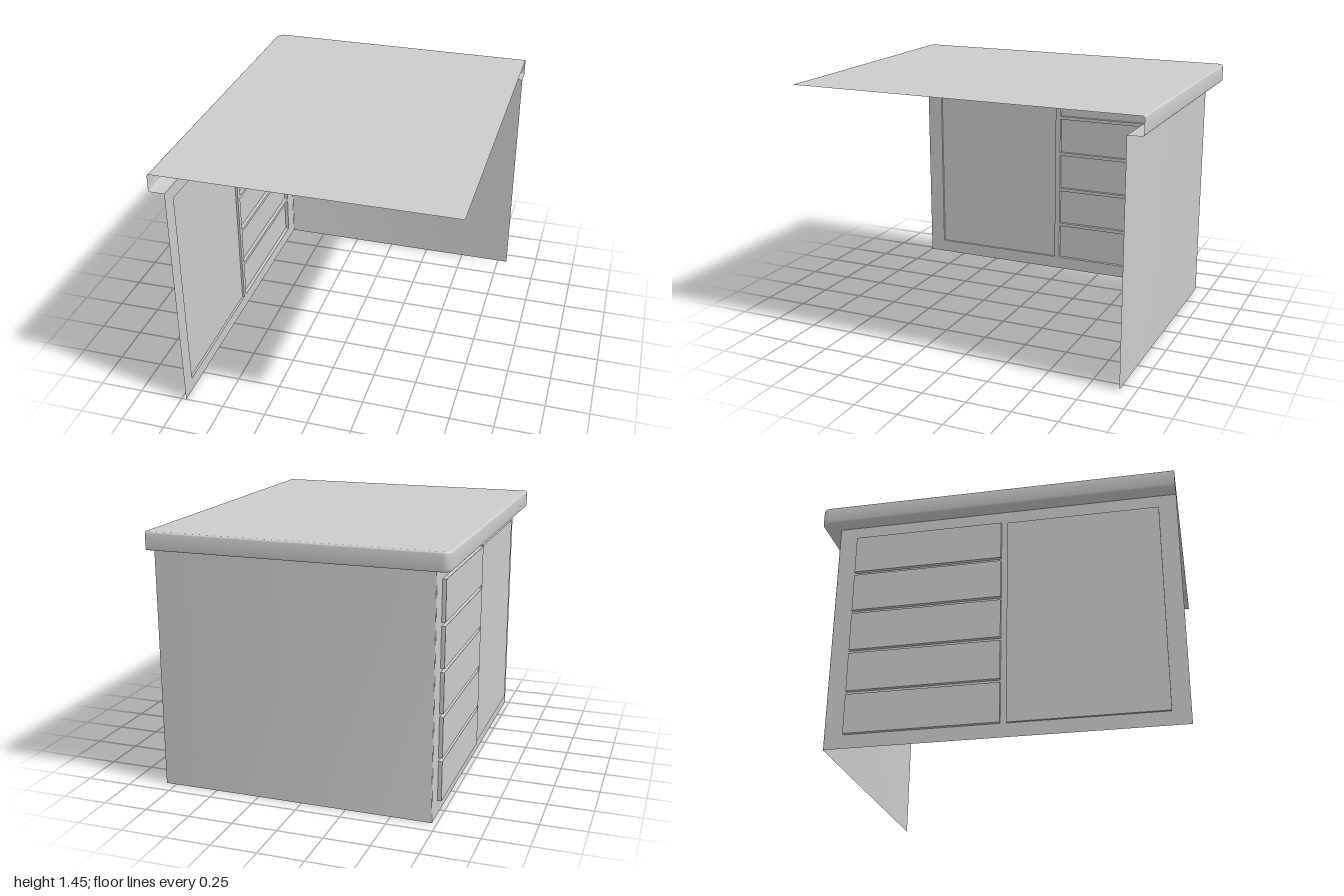
import * as THREE from 'three';
import { toCreasedNormals } from 'three/addons/utils/BufferGeometryUtils.js';

const X = 0.81, Z = 1, TOP = 1.445, UNDER = 1.345;
const OVERHANG = 0.087, CORNER = 0.045, EDGE = 0.01, WALL_CORNER = 0.006;
const WALL_X = -X + OVERHANG;

const material = new THREE.MeshStandardMaterial({ color: 0xcccccc, side: THREE.DoubleSide });

// Plan path [x, z] along the left-hand side, round the corner and along the back
function outline(inset) {
  const r = Math.max(CORNER - inset, WALL_CORNER), n = 6;
  const points = [[-X + inset, Z]];
  for (let i = 0; i <= n; i++) {
    const a = (i / n) * Math.PI / 2;
    points.push([-X + inset + r - r * Math.cos(a), -Z + inset + r - r * Math.sin(a)]);
  }
  points.push([X, -Z + inset]);
  return points;
}

// Sheet that carries a profile of [inset, y] points along the outline
function sweep(profile, firstPoint = 0) {
  const paths = profile.map(([inset]) => outline(inset).slice(firstPoint));
  const m = profile.length, position = [], index = [];
  for (let i = 0; i < paths[0].length; i++) {
    for (let j = 0; j < m; j++) {
      position.push(paths[j][i][0], profile[j][1], paths[j][i][1]);
      if (i + 1 < paths[0].length && j + 1 < m) {
        const a = i * m + j;
        index.push(a, a + 1, a + m, a + 1, a + m + 1, a + m);
      }
    }
  }
  const geometry = new THREE.BufferGeometry();
  geometry.setAttribute('position', new THREE.Float32BufferAttribute(position, 3));
  geometry.setIndex(index);
  return toCreasedNormals(geometry, 0.6);
}

// Raised panel, hollow behind: a box without its inner face
function tray({ z0, z1, y0, y1, depth }) {
  const geometry = new THREE.BoxGeometry(depth, y1 - y0, z1 - z0);
  geometry.setIndex(Array.from(geometry.index.array).slice(6));
  geometry.clearGroups();
  return geometry.translate(WALL_X - depth / 2, (y0 + y1) / 2, (z0 + z1) / 2);
}

export function createModel() {
  const group = new THREE.Group();
  const add = (name, geometry) => {
    const mesh = new THREE.Mesh(geometry, material);
    mesh.name = name;
    group.add(mesh);
  };

  // One door and a stack of five drawers
  const panels = [{ name: 'door', z0: 0.066, z1: 0.903, y0: 0.077, y1: 1.268, depth: 0.013 }];
  const drawerHeight = 0.222, step = 0.2423;
  for (let i = 0; i < 5; i++) {
    const y0 = 0.077 + i * step;
    panels.push({ name: `drawer${i + 1}`, z0: -0.804, z1: 0.033, y0, y1: y0 + drawerHeight, depth: 0.021 });
  }
  panels.forEach((p) => add(p.name, tray(p)));

  // Cabinet front, open behind each panel; shape x runs along z
  const rect = (target, z0, y0, z1, y1) => {
    target.moveTo(z0, y0).lineTo(z1, y0).lineTo(z1, y1).lineTo(z0, y1).closePath();
    return target;
  };
  const face = rect(new THREE.Shape(), -Z + OVERHANG + WALL_CORNER, 0, Z, UNDER);
  panels.forEach((p) => face.holes.push(rect(new THREE.Path(), p.z0, p.y0, p.z1, p.y1)));
  add('cabinetFace', new THREE.ShapeGeometry(face).rotateY(-Math.PI / 2).translate(WALL_X, 0, 0));

  // Rounded corner and plain end wall
  add('endWall', sweep([[OVERHANG, 0], [OVERHANG, UNDER]], 1));

  // Worktop rim: underside, rounded lower edge, band, rounded upper edge
  const rim = [[OVERHANG, UNDER]];
  for (const [start, y] of [[0, UNDER + EDGE], [1, TOP - EDGE]]) {
    for (let i = 0; i <= 3; i++) {
      const a = (-1 + start + i / 3) * Math.PI / 2;
      rim.push([EDGE - EDGE * Math.cos(a), y + EDGE * Math.sin(a)]);
    }
  }
  add('worktopRim', sweep(rim));

  // Worktop surface
  const surface = new THREE.Shape(
    [...outline(EDGE), [X, Z]].map(([x, z]) => new THREE.Vector2(x, -z)));
  add('worktop', new THREE.ShapeGeometry(surface).rotateX(-Math.PI / 2).translate(0, TOP, 0));

  return group;
}
